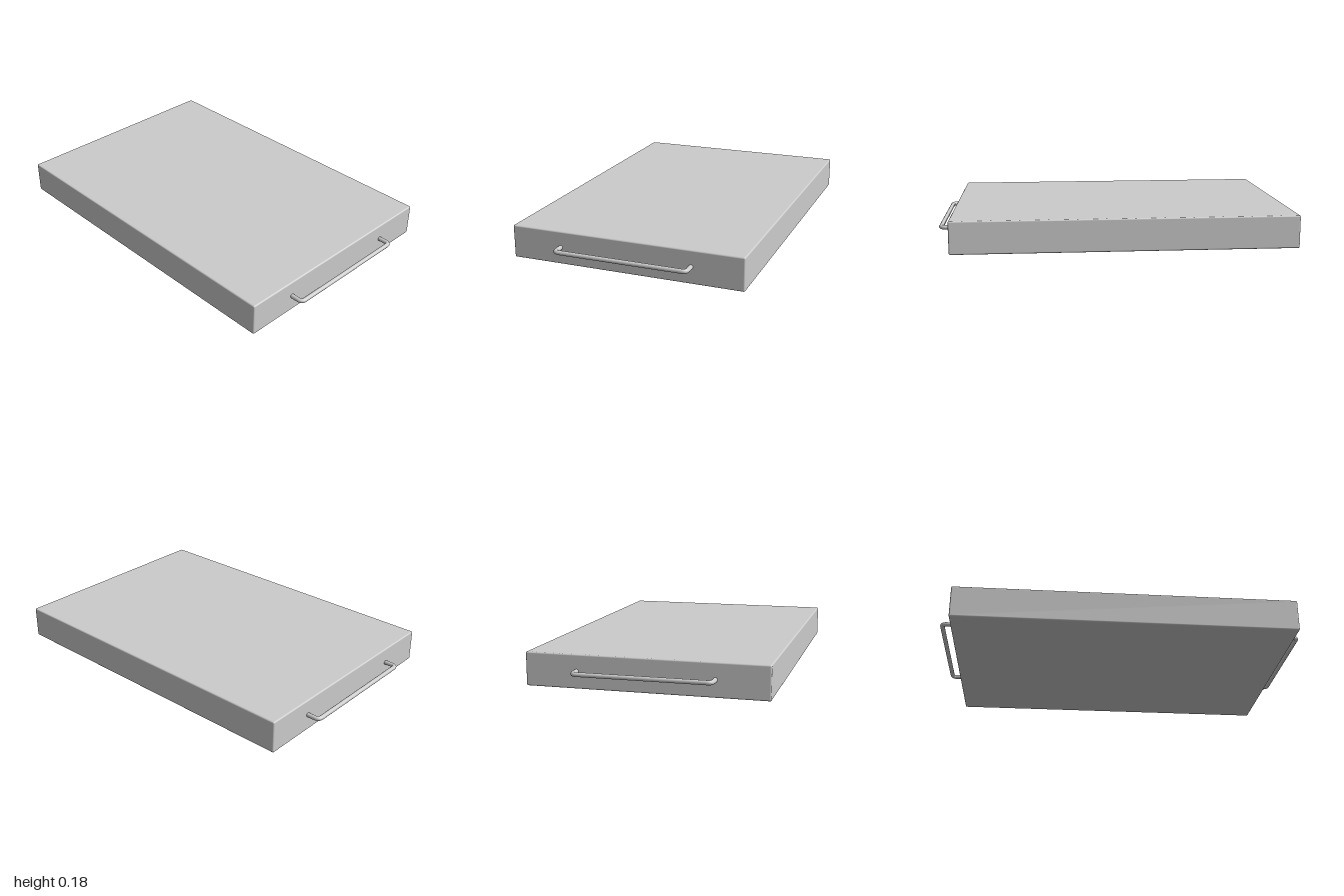
import * as THREE from 'three';
import { RoundedBoxGeometry } from 'three/addons/geometries/RoundedBoxGeometry.js';

const material = new THREE.MeshStandardMaterial({ color: 0xcccccc });

// Bent rod: two short legs joined to a long bar by rounded corners
function createHandle(side) {
  const rod = 0.012, reach = 0.988, root = 0.9, half = 0.357, bend = 0.025, y = 0.09;
  const p = (x, z) => new THREE.Vector3(side * x, y, z);
  const path = new THREE.CurvePath();
  path.add(new THREE.LineCurve3(p(root, -half), p(reach - bend, -half)));
  path.add(new THREE.QuadraticBezierCurve3(p(reach - bend, -half), p(reach, -half), p(reach, -half + bend)));
  path.add(new THREE.LineCurve3(p(reach, -half + bend), p(reach, half - bend)));
  path.add(new THREE.QuadraticBezierCurve3(p(reach, half - bend), p(reach, half), p(reach - bend, half)));
  path.add(new THREE.LineCurve3(p(reach - bend, half), p(root, half)));
  return new THREE.Mesh(new THREE.TubeGeometry(path, 160, rod, 16, false), material);
}

export function createModel() {
  const model = new THREE.Group();
  model.name = 'slabWithHandles';

  // Flat slab with slightly eased edges
  const width = 1.844, height = 0.177, depth = 1.264;
  const slab = new THREE.Mesh(new RoundedBoxGeometry(width, height, depth, 3, 0.008), material);
  slab.name = 'slab';
  slab.position.y = height / 2;
  model.add(slab);

  // A handle on each end
  for (const side of [1, -1]) {
    const handle = createHandle(side);
    handle.name = side > 0 ? 'leftHandle' : 'rightHandle';
    model.add(handle);
  }
  return model;
}
